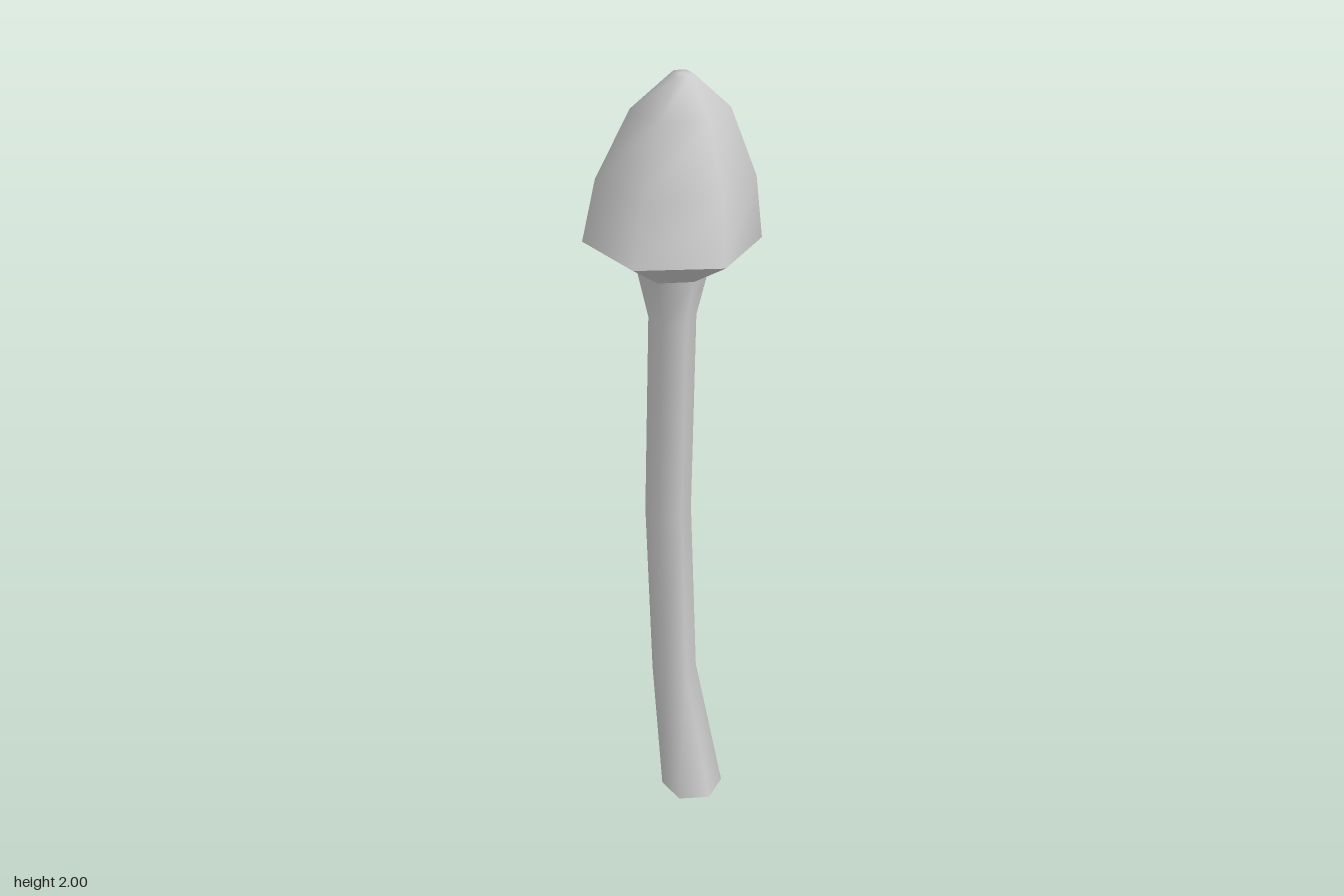
import * as THREE from 'three';
import { mergeVertices } from 'three/addons/utils/BufferGeometryUtils.js';

const SIDES = 6;

// Smooth six-sided skin through rings listed from bottom to top.
// Each ring: [centre x, centre y, centre z, radius, slope along x, slope along z]
function loft(name, rings) {
  const positions = [];
  const index = [];
  rings.forEach(([cx, cy, cz, r, slopeX = 0, slopeZ = 0], i) => {
    for (let j = 0; j < SIDES; j++) {
      const angle = (j / SIDES) * Math.PI * 2;
      const dx = r * Math.cos(angle);
      const dz = -r * Math.sin(angle);
      positions.push(cx + dx, cy + dx * slopeX + dz * slopeZ, cz + dz);
      if (i === 0) continue;
      const next = (j + 1) % SIDES;
      const a = (i - 1) * SIDES + j;
      const b = (i - 1) * SIDES + next;
      const c = i * SIDES + next;
      const d = i * SIDES + j;
      index.push(a, b, c);
      if (r > 0) index.push(a, c, d);
    }
  });
  let geometry = new THREE.BufferGeometry();
  geometry.setAttribute('position', new THREE.Float32BufferAttribute(positions, 3));
  geometry.setIndex(index);
  geometry = mergeVertices(geometry);
  geometry.computeVertexNormals();
  const material = new THREE.MeshStandardMaterial({ color: 0xcccccc, side: THREE.DoubleSide });
  const mesh = new THREE.Mesh(geometry, material);
  mesh.name = name;
  return mesh;
}

export function createModel() {
  const group = new THREE.Group();
  group.name = 'mushroom';

  // Shared rings where the parts meet
  const neck = [0, 1.535, 0.018, 0.083, 0, 0.1];
  const rim = [0, 1.606, 0.001, 0.207, -0.02, 0.115];

  // Crooked stem, open at the foot and flaring under the cap
  group.add(loft('stem', [
    [0.048, 0, 0.042, 0.078],
    [0.005, 0.36, 0, 0.056],
    [-0.013, 0.88, 0.034, 0.056],
    [-0.003, 1.425, 0.037, 0.056],
    neck,
  ]));

  // Underside of the cap
  group.add(loft('capUnderside', [neck, rim]));

  // Tilted bell-shaped cap
  group.add(loft('cap', [
    rim,
    [0.01, 1.755, -0.018, 0.184, -0.02, 0.1],
    [0.022, 1.917, -0.04, 0.114, -0.02, 0.12],
    [0.024, 1.997, -0.045, 0.028, 0, 0.05],
    [0.024, 2, -0.046, 0],
  ]));

  return group;
}
